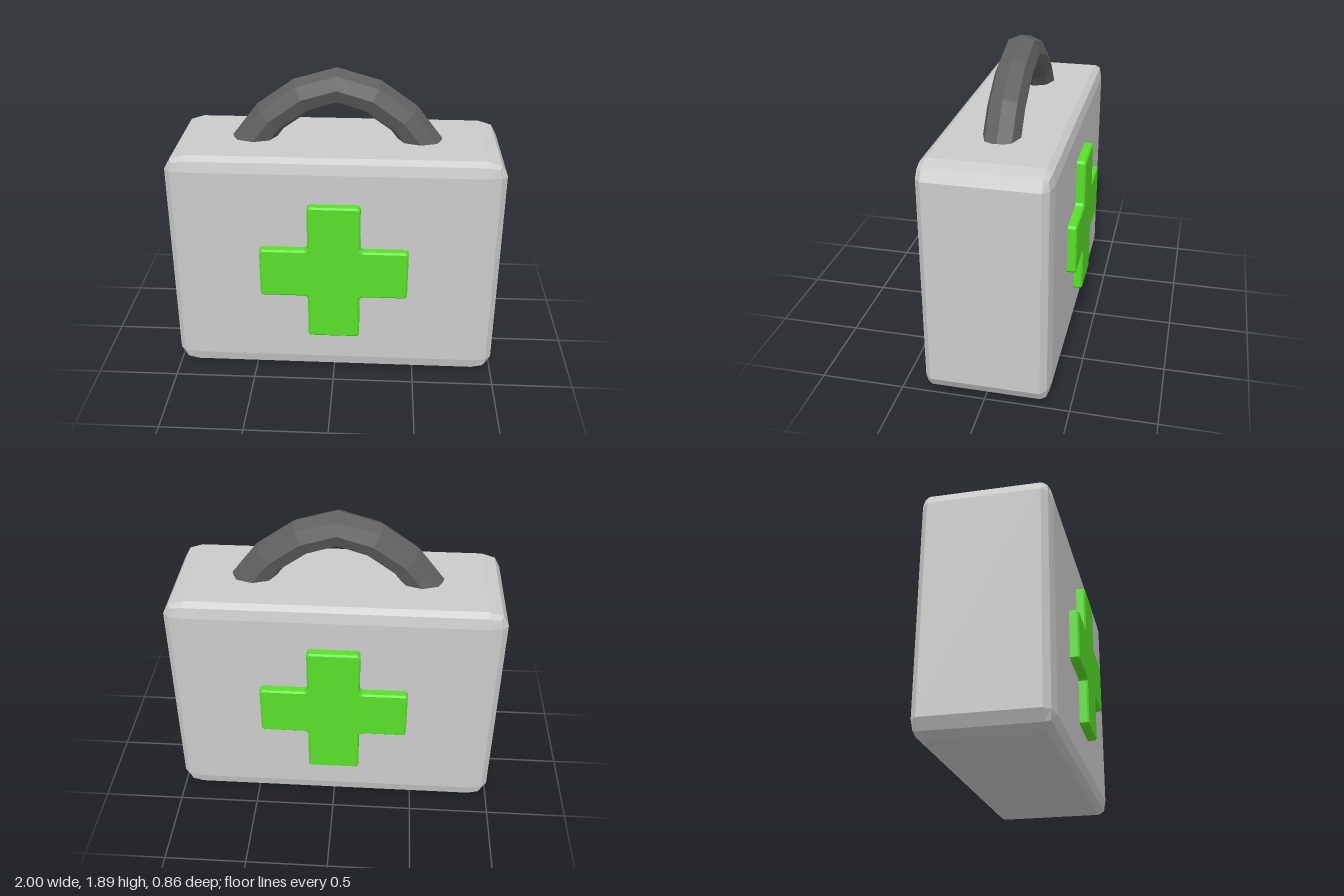
import * as THREE from 'three';
import { RoundedBoxGeometry } from 'three/addons/geometries/RoundedBoxGeometry.js';

const material = (color) => new THREE.MeshStandardMaterial({ color, flatShading: true });

function part(name, geometry, mat) {
  const mesh = new THREE.Mesh(geometry, mat);
  mesh.name = name;
  return mesh;
}

// Case with two-step bevels, wider along x than along y and z
function caseGeometry() {
  const [bx, by, bz] = [0.12, 0.09, 0.05];
  const g = new RoundedBoxGeometry(2 / bx, 1.45 / by, 0.75 / bz, 1, 1);
  g.scale(bx, by, bz);
  g.translate(0, 0.725, 0);
  g.computeVertexNormals();
  return g;
}

// Plus shape with clipped corners; arm = half length, half = half width
function crossGeometry(arm, half, clip, depth) {
  const corners = [];
  for (let i = 0; i < 4; i++) {
    for (const [x, y] of [[arm, -half], [arm, half], [half, half]]) {
      corners.push(new THREE.Vector2(x, y).rotateAround(new THREE.Vector2(), i * Math.PI / 2));
    }
  }
  const outline = [];
  corners.forEach((c, i) => {
    for (const step of [corners.length - 1, 1]) {
      const next = corners[(i + step) % corners.length];
      outline.push(next.clone().sub(c).setLength(clip).add(c));
    }
  });
  const bevel = 0.01;
  return new THREE.ExtrudeGeometry(new THREE.Shape(outline), {
    depth: depth - 2 * bevel, bevelSize: bevel, bevelThickness: bevel, bevelOffset: -bevel, bevelSegments: 1,
  }).translate(0, 0, bevel);
}

// Eight-sided tube bent along an arch
function handleGeometry() {
  const half = [[0.55, 1.39], [0.404, 1.58], [0.213, 1.716]];
  const path = [...half, [0, 1.78], ...half.map(([x, y]) => [-x, y]).reverse()]
    .map(([x, y]) => new THREE.Vector2(x, y));
  const rows = path.length - 1;
  const g = new THREE.CylinderGeometry(0.11, 0.11, 1, 8, rows, true);
  const pos = g.attributes.position;
  for (let i = 0; i < pos.count; i++) {
    const k = Math.round((pos.getY(i) + 0.5) * rows);
    const c = path[k];
    const before = c.clone().sub(path[Math.max(k - 1, 0)]).normalize();
    const after = path[Math.min(k + 1, rows)].clone().sub(c).normalize();
    const t = before.add(after).normalize();
    const r = pos.getX(i);
    pos.setXY(i, c.x + t.y * r, c.y - t.x * r);
  }
  g.computeVertexNormals();
  return g;
}

export function createModel() {
  const model = new THREE.Group();
  model.name = 'firstAidCase';
  model.add(part('case', caseGeometry(), material(0xcccccc)));
  model.add(part('handle', handleGeometry(), material(0x606060)));

  // Raised crosses on front and back
  const green = material(0x58e02a);
  const cross = crossGeometry(0.448, 0.158, 0.015, 0.08);
  [['frontCross', 0], ['backCross', Math.PI]].forEach(([name, turn]) => {
    const mesh = part(name, cross, green);
    mesh.position.set(0, 0.728, 0.35 * Math.cos(turn));
    mesh.rotation.y = turn;
    model.add(mesh);
  });
  return model;
}
